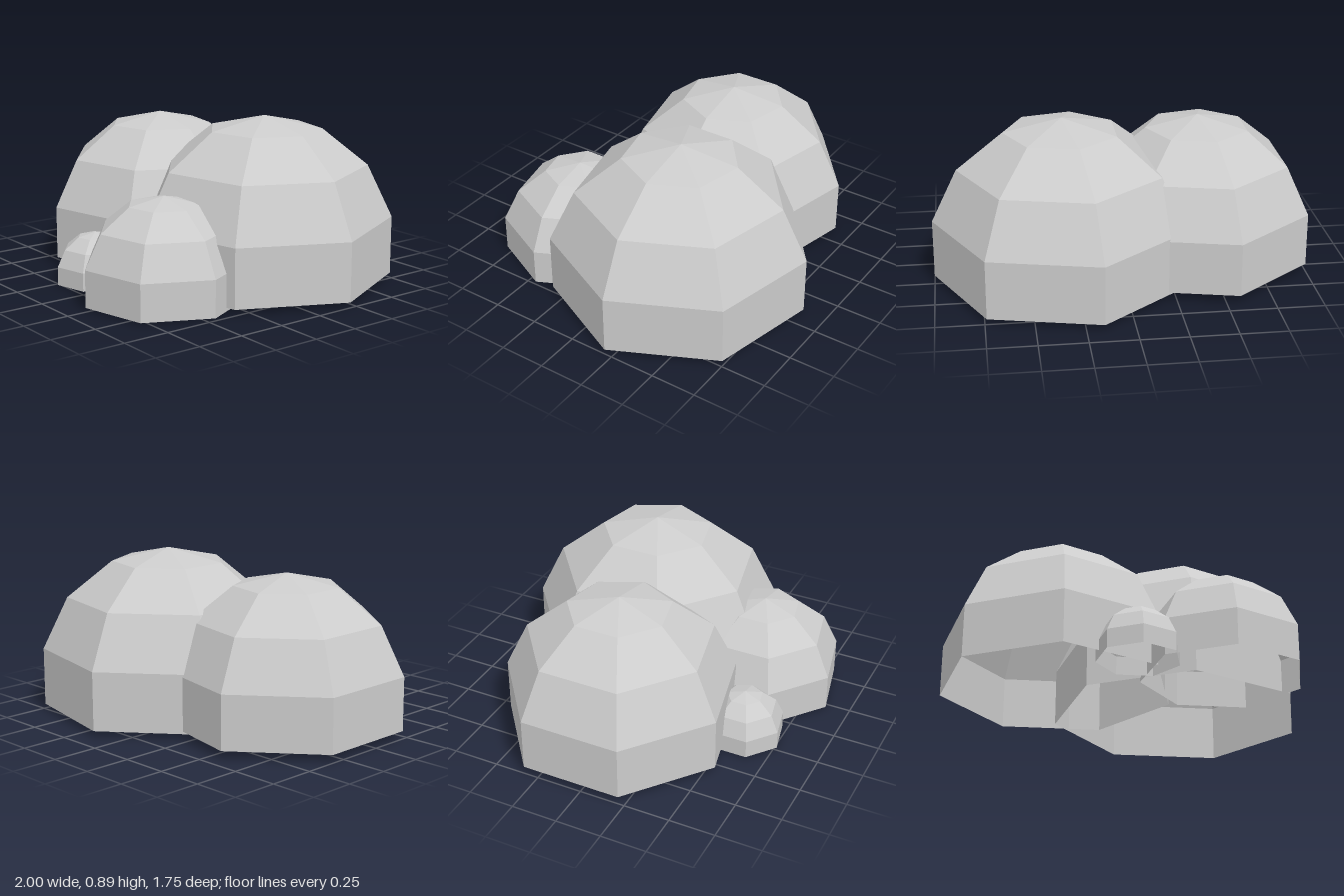
import * as THREE from 'three';

// A cluster of faceted bush domes, open underneath.
const SIDES = 7;
const ROWS = 7;        // rows of a full sphere
const KEPT_ROWS = 4;   // rows kept above the flat base

export function createModel() {
  const group = new THREE.Group();
  const material = new THREE.MeshStandardMaterial({
    color: 0xcccccc, flatShading: true, side: THREE.DoubleSide,
  });

  // Sphere cut off below its middle row, with one corner pointing to +x
  const addDome = (name, radius, x, y, z) => {
    const geometry = new THREE.SphereGeometry(
      radius, SIDES, KEPT_ROWS, 0, Math.PI * 2, 0, Math.PI * KEPT_ROWS / ROWS);
    geometry.rotateY(Math.PI);
    const dome = new THREE.Mesh(geometry, material);
    dome.name = name;
    dome.position.set(x, y, z);
    group.add(dome);
  };

  addDome('largeDome', 0.708, 0.31, 0.187, -0.207);
  addDome('rightDome', 0.646, -0.432, 0.187, -0.058);
  addDome('mediumDome', 0.441, 0.31, 0.108, 0.453);
  addDome('smallDome', 0.222, -0.182, 0.051, 0.551);

  return group;
}
